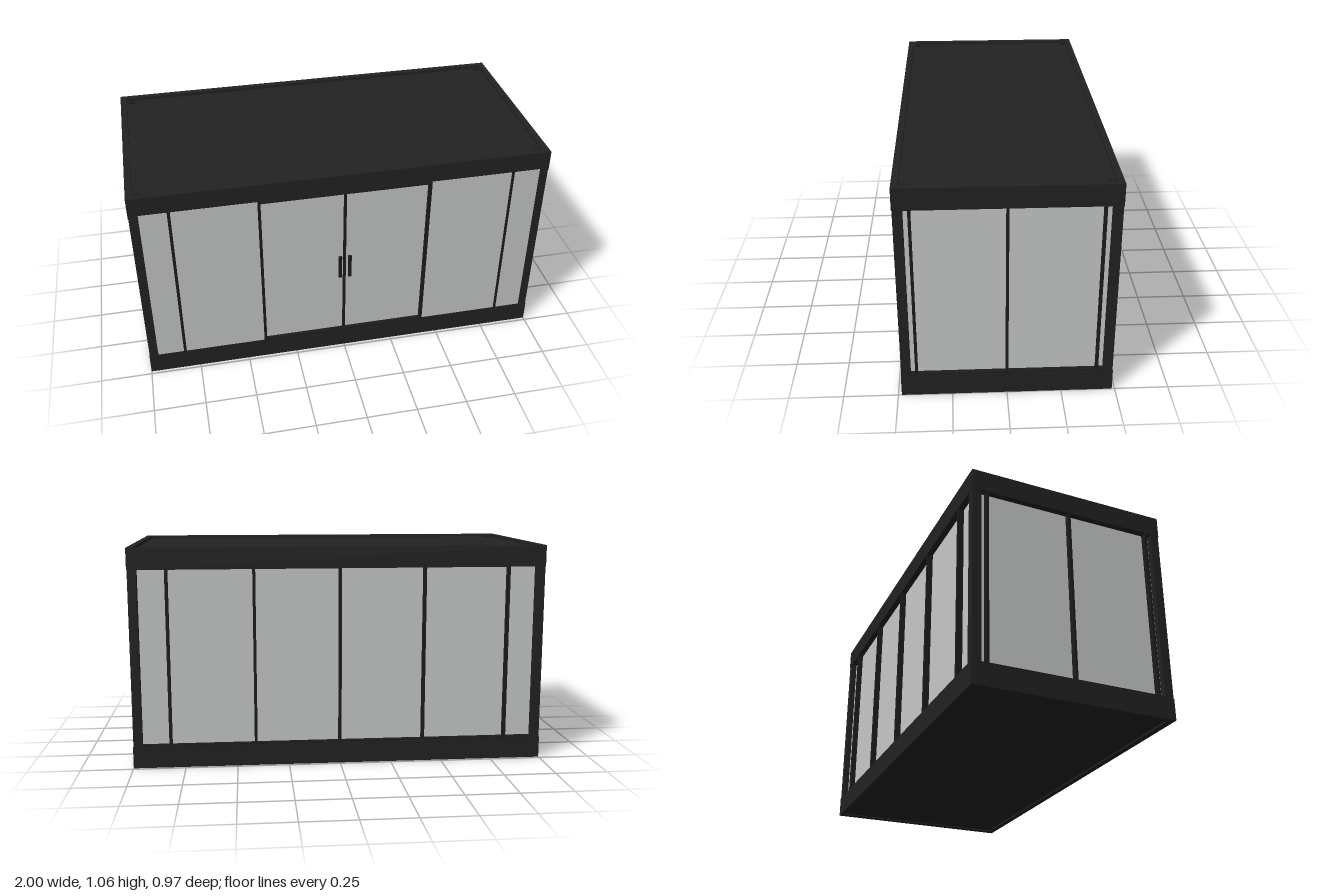
import * as THREE from 'three';

export function createModel() {
  const model = new THREE.Group();
  model.name = 'glazedPavilion';

  const mat = (name, color) => {
    const m = new THREE.MeshStandardMaterial({ color });
    m.name = name;
    return m;
  };
  const frame = mat('charcoal frame', 0x222222);
  const trim = mat('dark trim', 0x1b1c1b);
  const glass = mat('pale grey glass', 0xc8cac9);

  // Box given by its lower and upper limits on each axis
  const box = (name, material, [x0, x1], [y0, y1], [z0, z1], parent = model) => {
    const g = new THREE.BoxGeometry(x1 - x0, y1 - y0, z1 - z0);
    g.translate((x0 + x1) / 2, (y0 + y1) / 2, (z0 + z1) / 2);
    const mesh = new THREE.Mesh(g, material);
    mesh.name = name;
    parent.add(mesh);
    return mesh;
  };

  const H = 1.06, LOW = 0.104, HIGH = 0.957;
  const ZB = -0.487, ZF = 0.484, POST = 0.045, RIM = 0.03;
  const ZC = (ZB + ZF) / 2;

  // Floor and roof: a ring of beams around a recessed slab
  const ring = (name, y0, y1, s0, s1) => {
    const group = new THREE.Group();
    group.name = name;
    model.add(group);
    box('frontBeam', frame, [-1, 1], [y0, y1], [ZF - RIM, ZF], group);
    box('backBeam', frame, [-1, 1], [y0, y1], [ZB, ZB + RIM], group);
    for (const s of [-1, 1]) {
      const xs = s > 0 ? [1 - RIM, 1] : [-1, -1 + RIM];
      box('endBeam', frame, xs, [y0, y1], [ZB + RIM, ZF - RIM], group);
    }
    box('slab', frame, [-1 + RIM, 1 - RIM], [s0, s1], [ZB + RIM, ZF - RIM], group);
  };
  ring('floorFrame', 0, LOW, 0.008, LOW);
  ring('roofFrame', HIGH, H, HIGH, H - 0.015);

  // Corner posts and the roof bolts above them
  for (const s of [-1, 1]) {
    const xs = s > 0 ? [1 - POST, 0.998] : [-0.998, -1 + POST];
    box('frontPost', frame, xs, [LOW, HIGH], [ZF - POST, ZF - 0.002]);
    box('backPost', frame, xs, [LOW, HIGH], [ZB + 0.002, ZB + POST]);
    for (const t of [-1, 1]) {
      const bolt = new THREE.Mesh(new THREE.CylinderGeometry(0.016, 0.016, 0.008, 16), trim);
      bolt.position.set(s * 0.945, H - 0.012, ZC + t * 0.437);
      bolt.name = 'roofBolt';
      model.add(bolt);
    }
  }

  const W = 0.007; // half width of a mullion
  const REC = 0.03; // recess of the back and end glazing
  const stops = [-0.82, -0.41, 0, 0.41, 0.82];

  // Back wall
  box('backGlass', glass, [-0.956, 0.956], [LOW, HIGH], [ZB + REC, ZB + REC + 0.006]);
  for (const x of stops)
    box('backMullion', trim, [x - W, x + W], [LOW, HIGH], [ZB + 0.002, ZB + REC]);
  box('backSill', trim, [-0.955, 0.955], [LOW, LOW + 0.007], [ZB + 0.004, ZB + REC]);

  // End walls
  for (const s of [-1, 1]) {
    const span = (a, b) => (s > 0 ? [a, b] : [-b, -a]);
    box('endGlass', glass, span(0.964, 0.97), [LOW, HIGH], [ZB + POST, ZF - POST]);
    for (const z of [-0.412, 0, 0.412])
      box('endMullion', trim, span(0.97, 0.998), [LOW, HIGH], [z - 0.006, z + 0.006]);
    box('endSill', trim, span(0.97, 0.996), [LOW, LOW + 0.007], [ZB + POST, ZF - POST]);
  }

  // Front wall: fixed panes lie flush over the beam, doors sit back
  const DOOR = ZF - 0.02;
  for (const s of [-1, 1]) {
    const span = (a, b) => (s > 0 ? [a, b] : [-b, -a]);
    box('frontGlass', glass, span(0.41, 0.955), [LOW + 0.006, 0.968], [ZF - 0.005, ZF + 0.001]);
    box('frontMullion', trim, span(0.82 - W, 0.82 + W), [LOW, 0.968], [ZF - 0.005, ZF + 0.002]);
    box('doorJamb', trim, span(0.41 - W, 0.41 + W), [LOW, 0.968], [DOOR - 0.006, ZF + 0.002]);
    box('doorGlass', glass, span(0, 0.405), [LOW, HIGH], [DOOR - 0.006, DOOR]);
    box('doorStile', trim, span(0.0005, W), [LOW, HIGH], [DOOR - 0.008, DOOR + 0.006]);

    // Bar handle on two short standoffs
    const handle = new THREE.Group();
    handle.name = 'doorHandle';
    model.add(handle);
    box('handleBar', trim, span(0.016, 0.032), [0.457, 0.585], [ZF - 0.007, 0.487], handle);
    for (const y of [0.475, 0.567])
      box('handleStandoff', trim, span(0.02, 0.028), [y - 0.005, y + 0.005], [DOOR, ZF - 0.007], handle);
  }
  box('frontSill', trim, [-0.955, 0.955], [LOW, LOW + 0.007], [DOOR, ZF - 0.001]);
  box('doorHead', trim, [-0.41, 0.41], [HIGH - 0.004, HIGH], [DOOR, ZF - 0.001]);

  return model;
}
